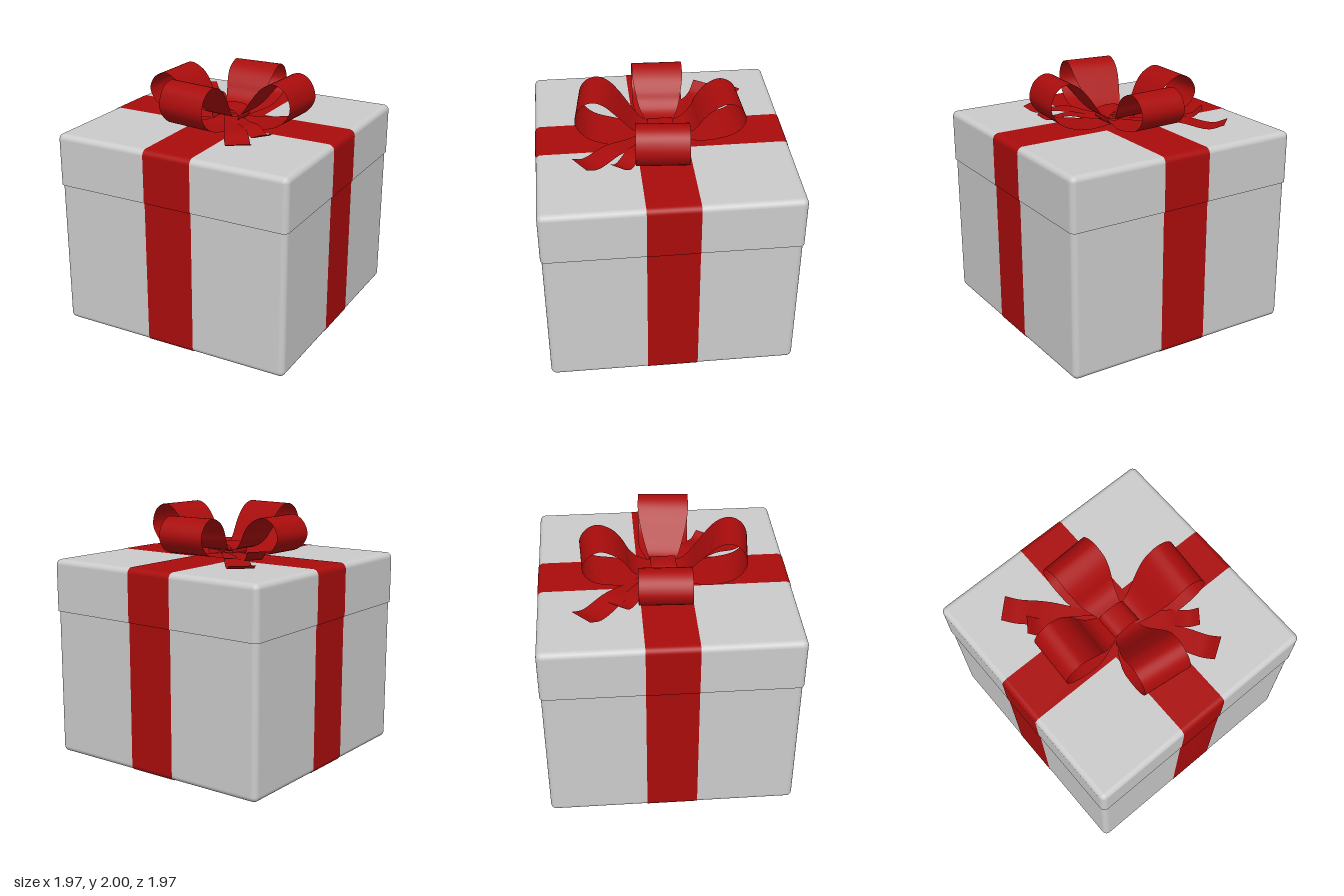
import * as THREE from 'three';
import { RoundedBoxGeometry } from 'three/addons/geometries/RoundedBoxGeometry.js';

const SEAM = 1.18, R = 0.045;

export function createModel() {
  const root = new THREE.Group();
  root.name = 'giftBox';
  const card = new THREE.MeshStandardMaterial({ color: 0xcccccc });
  const red = new THREE.MeshStandardMaterial({ color: 0xaa0c0c, side: THREE.DoubleSide });

  const add = (name, geometry, material, parent = root) => {
    const mesh = new THREE.Mesh(geometry, material);
    mesh.name = name;
    parent.add(mesh);
    return mesh;
  };

  // Sweeps a strip of varying width (along z) over a path in the xy plane
  const strip = (points, width) => {
    const pos = [], index = [];
    points.forEach((p, i) => {
      const w = width(p.x, i / (points.length - 1)) / 2;
      pos.push(p.x, p.y, w, p.x, p.y, -w);
      if (i) {
        const a = 2 * i - 2;
        index.push(a, a + 2, a + 1, a + 1, a + 2, a + 3);
      }
    });
    const g = new THREE.BufferGeometry();
    g.setAttribute('position', new THREE.Float32BufferAttribute(pos, 3));
    g.setIndex(index);
    g.computeVertexNormals();
    return g;
  };

  const smoothPath = (pts, n) =>
    new THREE.CatmullRomCurve3(pts.map(([x, y]) => new THREE.Vector3(x, y, 0))).getPoints(n);

  // Box body, its top tucked inside the lid
  const body = new RoundedBoxGeometry(1.944, 1.254, 1.944, 4, R);
  body.translate(0, 0.004 + 0.627, 0);
  add('boxBody', body, card);

  // Lid: rounded on top, its lower rounding squashed flat into a sharp rim
  const lid = new RoundedBoxGeometry(1.964, 1.597 - SEAM + R, 1.964, 4, R);
  lid.translate(0, (1.597 + SEAM - R) / 2, 0);
  const lp = lid.attributes.position;
  for (let i = 0; i < lp.count; i++) lp.setY(i, Math.max(lp.getY(i), SEAM));
  add('lid', lid, card);

  // U-shaped ribbon path from the seam round the two corners at yEnd
  const bandPath = (half, yEnd) => {
    const dir = Math.sign(yEnd - SEAM), r = R + 0.003;
    const pts = [new THREE.Vector2(half, SEAM)];
    for (const side of [1, -1]) {
      for (let i = 0; i <= 6; i++) {
        const a = (side > 0 ? i : 6 - i) / 6 * Math.PI / 2;
        pts.push(new THREE.Vector2(side * (half - r + r * Math.cos(a)), yEnd - dir * r * (1 - Math.sin(a))));
      }
    }
    pts.push(new THREE.Vector2(-half, SEAM));
    return pts;
  };
  const bodyBand = strip(bandPath(0.975, 0), () => 0.4);
  const lidBand = strip(bandPath(0.985, 1.6), () => 0.4);
  for (const [name, turn] of [['Sideways', 0], ['Lengthwise', Math.PI / 2]]) {
    add('bodyRibbon' + name, bodyBand, red).rotation.y = turn;
    add('lidRibbon' + name, lidBand, red).rotation.y = turn;
  }

  // Bow
  const bow = new THREE.Group();
  bow.name = 'bow';
  root.add(bow);
  const aim = (mesh, x, z) => { mesh.rotation.y = -Math.atan2(z, x); };

  // Two loop outlines: a tall one and a lower, rounder one
  const tallLoop = smoothPath([[0.04, 1.615], [0.2, 1.61], [0.4, 1.632], [0.54, 1.675], [0.62, 1.75], [0.65, 1.83],
    [0.62, 1.93], [0.57, 1.98], [0.5, 2], [0.42, 1.97], [0.33, 1.88], [0.2, 1.72], [0.13, 1.665], [0.04, 1.65]], 48);
  const lowLoop = smoothPath([[0.04, 1.615], [0.2, 1.62], [0.4, 1.645], [0.55, 1.68], [0.62, 1.745], [0.64, 1.81],
    [0.61, 1.885], [0.56, 1.93], [0.49, 1.95], [0.38, 1.9], [0.3, 1.81], [0.26, 1.74], [0.19, 1.68], [0.04, 1.65]], 48);
  const loopWidth = x => 0.2 + 0.2 * THREE.MathUtils.smoothstep(x, 0.04, 0.4);
  const loops = [
    ['loopLeft', tallLoop, 0.64, 0.045], ['loopRight', lowLoop, -0.64, -0.025],
    ['loopFront', tallLoop, -0.075, 0.615], ['loopBack', lowLoop, -0.025, -0.63],
  ];
  for (const [name, path, x, z] of loops) aim(add(name, strip(path, loopWidth), red, bow), x, z);

  // Loose tails: end point x, z, end width and end height above the lid
  const tails = [
    ['tailBackLong', -0.615, -0.65, 0.2, 0.05], ['tailBackShort', -0.57, -0.4, 0.145, 0.12],
    ['tailFrontLong', 0.425, 0.655, 0.19, 0.05], ['tailFrontShort', 0.49, 0.37, 0.14, 0.05],
  ];
  for (const [name, x, z, w, lift] of tails) {
    const len = Math.hypot(x, z), y = 1.605;
    const path = smoothPath([[0.03, y + 0.025], [len * 0.35, y + 0.015 + lift * 0.2], [len * 0.6, y + 0.04],
      [len * 0.87, y + lift * 0.5 - 0.02], [len, y - 0.005 + lift]], 20);
    aim(add(name, strip(path, (_, t) => THREE.MathUtils.lerp(0.11, w, Math.min(1, t * 1.6))), red, bow), x, z);
  }

  // Knot band arching over the middle
  const knot = smoothPath([[0.1, 1.605], [0.12, 1.65], [0.09, 1.695], [0, 1.71], [-0.09, 1.695], [-0.12, 1.65], [-0.1, 1.605]], 24);
  add('knot', strip(knot, () => 0.2), red, bow);

  return root;
}
